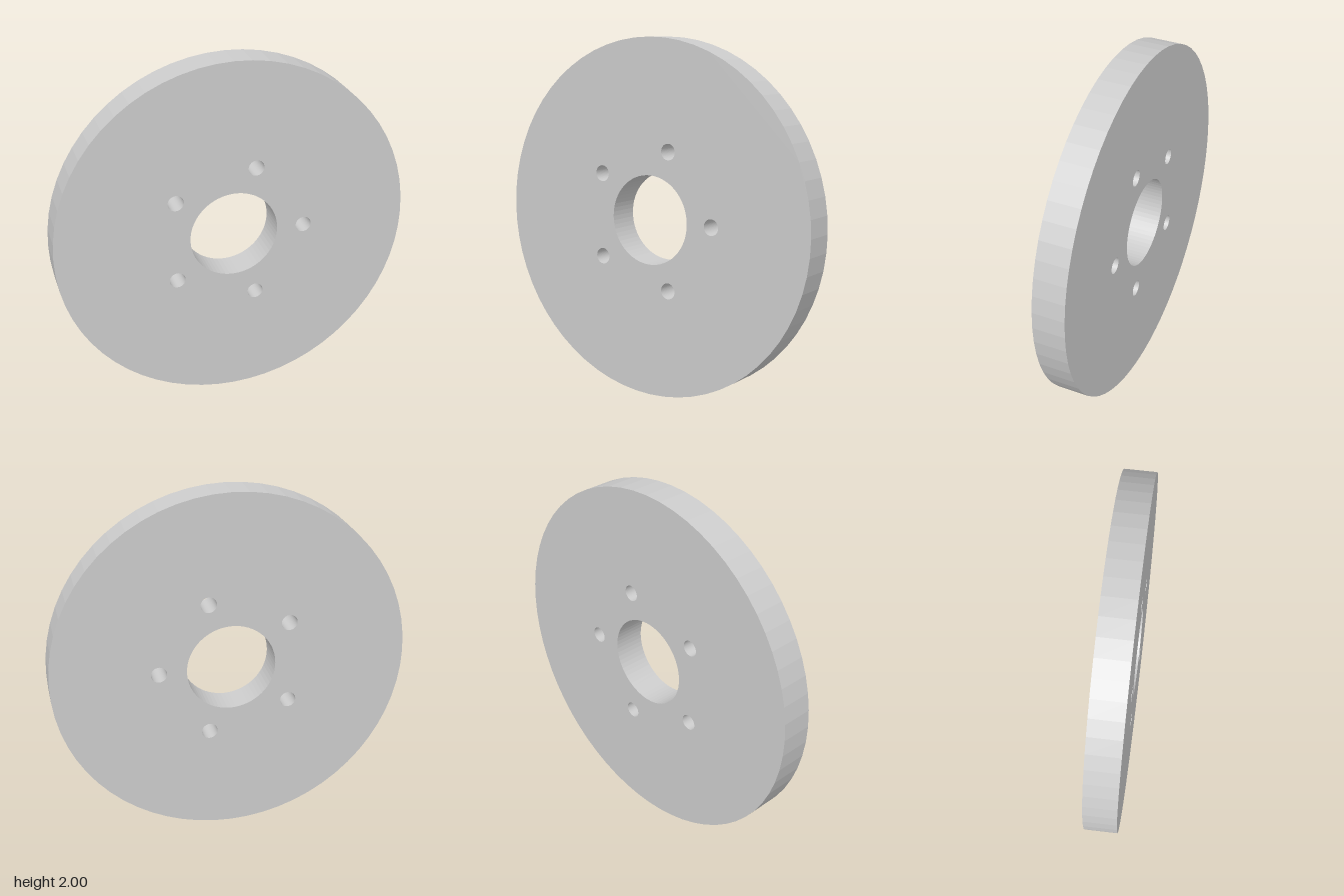
import * as THREE from 'three';

const RADIUS = 1;
const THICKNESS = 0.18;
const BORE_RADIUS = 0.25;
const BOLT_RADIUS = 0.045;
const BOLT_CIRCLE = 0.405;
const BOLT_COUNT = 5;

function circle(PathType, x, y, radius, clockwise) {
  return new PathType().absarc(x, y, radius, 0, Math.PI * 2, clockwise);
}

export function createModel() {
  const group = new THREE.Group();
  group.name = 'drilledDisc';

  // Disc outline with the central bore
  const outline = circle(THREE.Shape, 0, 0, RADIUS, false);
  outline.holes.push(circle(THREE.Path, 0, 0, BORE_RADIUS, true));

  // Ring of bolt holes, the first on the +x axis
  for (let i = 0; i < BOLT_COUNT; i++) {
    const a = (i / BOLT_COUNT) * Math.PI * 2;
    outline.holes.push(
      circle(THREE.Path, BOLT_CIRCLE * Math.cos(a), BOLT_CIRCLE * Math.sin(a), BOLT_RADIUS, true)
    );
  }

  // A full arc gets twice curveSegments, so each circle has 64 sides
  const geometry = new THREE.ExtrudeGeometry(outline, {
    depth: THICKNESS,
    bevelEnabled: false,
    curveSegments: 32,
  });
  geometry.translate(0, RADIUS, -THICKNESS / 2);

  const disc = new THREE.Mesh(
    geometry,
    new THREE.MeshStandardMaterial({ color: 0xcccccc, flatShading: true })
  );
  disc.name = 'disc';
  group.add(disc);
  return group;
}
